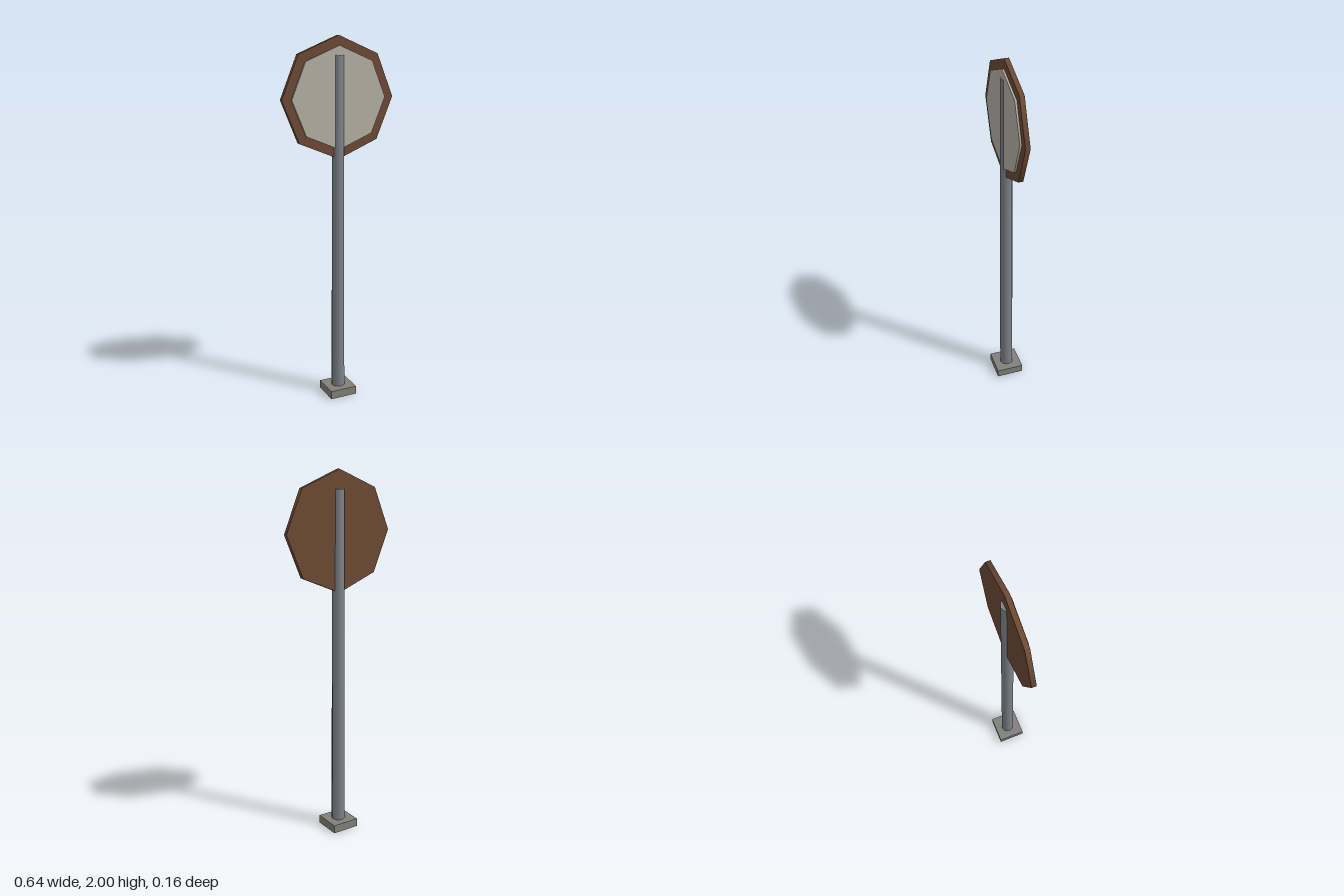
import * as THREE from 'three';

const SIDES = 8;
const SIGN_Y = 1.681;

function part(name, geometry, color) {
  const mesh = new THREE.Mesh(geometry, new THREE.MeshStandardMaterial({ color }));
  mesh.name = name;
  return mesh;
}

// Upright octagonal plate with a corner at the top, spanning z0 to z1
function octagonPlate(name, radius, z0, z1, color) {
  const geometry = new THREE.CylinderGeometry(radius, radius, z1 - z0, SIDES);
  geometry.rotateX(Math.PI / 2);
  const mesh = part(name, geometry, color);
  mesh.position.set(0, SIGN_Y, (z0 + z1) / 2);
  return mesh;
}

export function createModel() {
  const group = new THREE.Group();
  group.name = 'roadsideMirror';

  // Square foot
  const foot = part('foot', new THREE.BoxGeometry(0.156, 0.046, 0.156), 0x82807a);
  foot.position.y = 0.023;
  group.add(foot);

  // Slightly tapered octagonal pole, running up through the plates
  const bottom = 0.02, top = 1.9;
  const pole = part('pole', new THREE.CylinderGeometry(0.032, 0.039, top - bottom, SIDES), 0x80858a);
  pole.position.y = (bottom + top) / 2;
  group.add(pole);

  // Brown backing plate and pale mirror face on its front
  group.add(octagonPlate('backingPlate', 0.319, -0.0135, 0.0115, 0x6e4a35));
  group.add(octagonPlate('mirrorFace', 0.268, 0.0115, 0.0215, 0xb8b3a6));

  return group;
}
